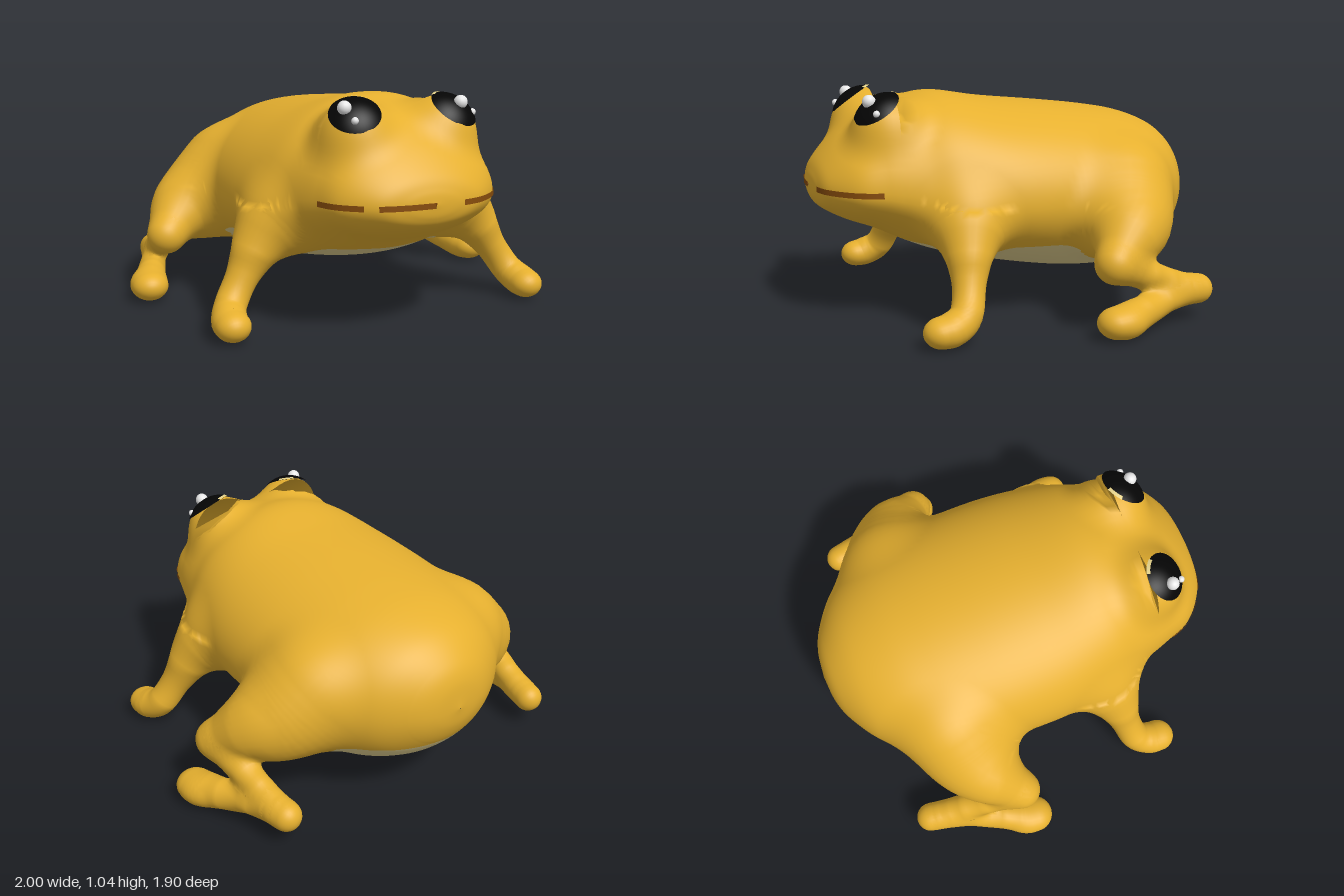
import * as THREE from 'three';

const mat = (name, color) => Object.assign(new THREE.MeshStandardMaterial({ color }), { name });
const smoothCurve = points => new THREE.CatmullRomCurve3(points, false, 'catmullrom');

// Skin closed rings of points; quads passing the test go into a second material group
function loft(rings, isSecond = () => false) {
  const n = rings[0].length, first = [], second = [];
  for (let i = 0; i < rings.length - 1; i++) {
    for (let j = 0; j < n; j++) {
      const a = i * n + j, b = i * n + (j + 1) % n, c = a + n, d = b + n;
      (isSecond(i, j) ? second : first).push(a, c, b, b, c, d);
    }
  }
  const g = new THREE.BufferGeometry().setFromPoints(rings.flat());
  g.setIndex([...first, ...second]);
  g.addGroup(0, first.length, 0);
  g.addGroup(first.length, second.length, 1);
  return g;
}

// Limbs and eye sockets: blend reach, then points of [x, y, z, radius, vertical squash]
const PARTS = {
  EyeSocket: { k: 0.1, points: [[0.215, 0.88, 0.605, 0.152], [0.215, 0.88, 0.625, 0.152]] },
  FrontLeg: { k: 0.13, points: [[0.45, 0.47, 0.33, 0.15], [0.56, 0.38, 0.36, 0.115], [0.65, 0.25, 0.39, 0.076],
    [0.725, 0.13, 0.43, 0.073], [0.755, 0.085, 0.5, 0.08, 0.92], [0.758, 0.075, 0.55, 0.08, 0.85]] },
  Thigh: { k: 0.13, points: [[0.44, 0.56, -0.46, 0.21], [0.55, 0.46, -0.42, 0.215], [0.68, 0.41, -0.36, 0.16], [0.81, 0.315, -0.235, 0.08]] },
  Shin: { k: 0.05, points: [[0.81, 0.31, -0.23, 0.08], [0.79, 0.25, -0.38, 0.068], [0.765, 0.18, -0.56, 0.062], [0.75, 0.142, -0.69, 0.056]] },
  HindFoot: { k: 0.05, points: [[0.75, 0.142, -0.69, 0.056], [0.805, 0.125, -0.5, 0.06], [0.87, 0.092, -0.32, 0.074],
    [0.902, 0.078, -0.24, 0.09, 0.85], [0.91, 0.077, -0.195, 0.088, 0.8]] },
};
const LIMBS = Object.values(PARTS);
for (const part of LIMBS) {
  part.path = smoothCurve(part.points.map(p => new THREE.Vector3(p[0], p[1], p[2])));
  part.size = smoothCurve(part.points.map(p => new THREE.Vector3(p[3], p[4] ?? 1, 0)));
  part.balls = Array.from({ length: 25 }, (_, i) => {
    const s = part.size.getPoint(i / 24);
    return { c: part.path.getPoint(i / 24), r: s.x, flat: s.y };
  });
}

// Body sections from nose to rump: z, half width, height of widest line, top, bottom
const SECTIONS = [
  [0.946, 0.002, 0.61, 0.612, 0.608], [0.935, 0.14, 0.61, 0.67, 0.55], [0.9, 0.26, 0.61, 0.74, 0.505],
  [0.8, 0.38, 0.61, 0.85, 0.45], [0.67, 0.435, 0.6, 0.95, 0.4], [0.5, 0.49, 0.57, 1.005, 0.32],
  [0.35, 0.545, 0.55, 1.03, 0.265], [0.1, 0.59, 0.54, 0.995, 0.205], [-0.2, 0.59, 0.54, 0.965, 0.15],
  [-0.45, 0.57, 0.53, 0.935, 0.133], [-0.63, 0.505, 0.53, 0.9, 0.155], [-0.78, 0.39, 0.53, 0.84, 0.23],
  [-0.88, 0.255, 0.53, 0.755, 0.33], [-0.93, 0.14, 0.53, 0.665, 0.425], [-0.948, 0.002, 0.53, 0.532, 0.528],
];
const curveA = smoothCurve(SECTIONS.map(s => new THREE.Vector3(s[0], s[1], s[2])));
const curveB = smoothCurve(SECTIONS.map(s => new THREE.Vector3(s[0], s[3], s[4])));
function section(t) {
  const a = curveA.getPoint(t), b = curveB.getPoint(t);
  return { z: a.x, w: a.y, mid: a.z, up: b.y - a.z, down: a.z - b.z, bottom: b.z };
}
const SLICES = Array.from({ length: 561 }, (_, i) => section(i / 560));

// Signed distances, roughly, to the body and to one limb on the nearer side
function bodyDistance(p) {
  let lo = 0, hi = SLICES.length - 1;
  while (hi - lo > 1) {
    const m = (lo + hi) >> 1;
    if (SLICES[m].z > p.z) lo = m; else hi = m;
  }
  const a = SLICES[lo], b = SLICES[hi], f = THREE.MathUtils.clamp((a.z - p.z) / (a.z - b.z), 0, 1);
  const mix = key => a[key] + (b[key] - a[key]) * f;
  const w = mix('w'), dy = p.y - mix('mid'), h = mix(dy > 0 ? 'up' : 'down');
  return (Math.hypot(p.x / w, dy / h) - 1) * Math.min(w, h);
}
const limbDistance = (p, part) => Math.min(...part.balls.map(({ c, r, flat }) =>
  Math.hypot(Math.abs(p.x) - c.x, (p.y - c.y) / flat, p.z - c.z) - r));
const nearestLimb = p => Math.min(...LIMBS.map(part => limbDistance(p, part)));

// One soft surface flowing from the body into every limb
function field(p) {
  let d = bodyDistance(p);
  for (const part of LIMBS) {
    const e = limbDistance(p, part), h = Math.max(0, part.k - Math.abs(d - e));
    d = Math.min(d, e) - h * h / (4 * part.k);
  }
  return d;
}
function gradient(p) {
  const e = 0.004, q = new THREE.Vector3();
  return new THREE.Vector3(...['x', 'y', 'z'].map(axis => {
    const up = field(q.copy(p).setComponent('xyz'.indexOf(axis), p[axis] + e));
    return (up - field(q.setComponent('xyz'.indexOf(axis), p[axis] - e))) / (2 * e);
  }));
}

// Move the vertices onto the soft surface, tucking them just under it where the other part takes over
function settle(g, own, other) {
  const pos = g.attributes.position, moved = new Map();
  for (let i = 0; i < pos.count; i++) {
    const p = new THREE.Vector3().fromBufferAttribute(pos, i);
    if (nearestLimb(p) > 0.16 || other(p) < -0.06) continue;
    for (let n = 0; n < 5; n++) {
      const level = -0.008 * THREE.MathUtils.smoothstep(own(p) - other(p), 0, 0.04);
      const grad = gradient(p), step = (field(p) - level) / Math.max(grad.lengthSq(), 0.2);
      p.addScaledVector(grad, THREE.MathUtils.clamp(-step, -0.05, 0.05));
    }
    pos.setXYZ(i, p.x, p.y, p.z);
    moved.set(i, gradient(p).normalize());
  }
  g.computeVertexNormals();
  moved.forEach((n, i) => g.attributes.normal.setXYZ(i, n.x, n.y, n.z));
  return g;
}

// Torso and head in one skin, with the belly line following a fixed height
function bodyGeometry() {
  const STEPS = 140, UPPER = 60, LOWER = 36, LINE = 0.34;
  const secs = Array.from({ length: STEPS + 1 }, (_, i) => section(i / STEPS));
  const rings = secs.map(s => {
    const cut = Math.asin(THREE.MathUtils.clamp((LINE - s.mid) / s.down, -0.995, 0));
    return Array.from({ length: UPPER + LOWER }, (_, j) => {
      const a = j < UPPER
        ? cut + (Math.PI - 2 * cut) * j / UPPER
        : Math.PI - cut + (Math.PI + 2 * cut) * (j - UPPER) / LOWER;
      const y = Math.sin(a);
      return new THREE.Vector3(s.w * Math.cos(a), s.mid + y * (y > 0 ? s.up : s.down), s.z);
    });
  });
  const isBelly = (i, j) => j >= UPPER && secs[i].bottom < LINE && secs[i + 1].bottom < LINE && nearestLimb(rings[i][j]) > 0.035;
  return settle(loft(rings, isBelly), bodyDistance, nearestLimb);
}

// Tapered limb with rounded ends
function limbGeometry(part, side) {
  const rings = [];
  const ring = (t, push, shrink) => {
    const T = part.path.getTangent(t), s = part.size.getPoint(t);
    const C = part.path.getPoint(t).addScaledVector(T, push * s.x);
    T.x *= side;
    C.x *= side;
    const S = new THREE.Vector3().crossVectors(T, new THREE.Vector3(0, 1, 0)).normalize();
    const U = new THREE.Vector3().crossVectors(S, T);
    rings.push(Array.from({ length: 28 }, (_, j) => {
      const a = j / 28 * Math.PI * 2, r = s.x * shrink;
      return C.clone().addScaledVector(S, Math.cos(a) * r).addScaledVector(U, Math.sin(a) * r * s.y);
    }));
  };
  const cap = i => i / 8 * Math.PI / 2;
  for (let i = 8; i > 0; i--) ring(0, -Math.sin(cap(i)), Math.cos(cap(i)) + 0.002);
  for (let i = 0; i <= 30; i++) ring(i / 30, 0, 1);
  for (let i = 1; i <= 8; i++) ring(1, Math.sin(cap(i)), Math.cos(cap(i)) + 0.002);
  return settle(loft(rings), p => limbDistance(p, part), bodyDistance);
}

// Thin ribbon of the mouth line, lying just off the head between two distances from the middle
function mouthGeometry(x0, x1, side) {
  const pos = [], index = [];
  const at = (t, y) => {
    const s = section(t), q = (y - s.mid) / (y > s.mid ? s.up : s.down);
    return [side * s.w * Math.sqrt(Math.max(0, 1 - q * q)) * 1.008, y, s.z * 1.005];
  };
  for (let i = 0; i <= 160; i++) {
    const t = i / 160 * 0.3, x = Math.abs(at(t, 0.61)[0]);
    if (x >= x0 && x <= x1) pos.push(...at(t, 0.597), ...at(t, 0.622));
  }
  for (let i = 0; i < pos.length / 6 - 1; i++) {
    const a = i * 2;
    index.push(a, a + 2, a + 1, a + 1, a + 2, a + 3);
  }
  const g = new THREE.BufferGeometry();
  g.setAttribute('position', new THREE.Float32BufferAttribute(pos, 3));
  g.setIndex(index);
  g.computeVertexNormals();
  return g;
}

export function createModel() {
  const skin = mat('goldenSkin', 0xe6b02f), cream = mat('creamBelly', 0xdecc8c);
  const black = mat('eyeBlack', 0x050505), white = mat('eyeHighlight', 0xeeeeee);
  const brown = mat('mouthBrown', 0x874c0c), pale = mat('eyeRim', 0xf0dc90);
  brown.side = THREE.DoubleSide;

  const model = new THREE.Group();
  model.name = 'frog';
  const add = (name, geometry, material) => {
    const mesh = new THREE.Mesh(geometry, material);
    mesh.name = name;
    model.add(mesh);
    return mesh;
  };
  add('body', bodyGeometry(), [skin, cream]);

  for (const side of [1, -1]) {
    const label = side > 0 ? 'left' : 'right';
    for (const [name, part] of Object.entries(PARTS)) add(label + name, limbGeometry(part, side), skin);

    // Dark eye cap looking up, forward and out, with a pale sliver at its inner back edge
    const look = new THREE.Vector3(0.25 * side, 0.8, 0.55).normalize();
    const back = side > 0 ? -0.985 : -2.157;
    const caps = [
      add(label + 'Eye', new THREE.SphereGeometry(0.163, 40, 14, 0, Math.PI * 2, 0, 0.77), black),
      add(label + 'EyeRim', new THREE.SphereGeometry(0.165, 10, 3, back - 0.35, 0.7, 0.68, 0.1), pale),
    ];
    for (const cap of caps) {
      cap.position.set(0.215 * side, 0.88, 0.615);
      cap.quaternion.setFromUnitVectors(new THREE.Vector3(0, 1, 0), look);
    }
  }

  // Eye glints, shifted the same way on both eyes
  const glints = [[0.257, 1.006, 0.715, 0.031], [0.328, 0.957, 0.7, 0.016], [-0.298, 1.006, 0.69, 0.031], [-0.277, 0.957, 0.748, 0.016]];
  for (const [x, y, z, r] of glints) add('eyeGlint', new THREE.SphereGeometry(r, 16, 12), white).position.set(x, y, z);

  // Broken mouth line
  for (const [x0, x1, side] of [[0, 0.03, 1], [0.15, 0.43, 1], [0, 0.25, -1], [0.3, 0.43, -1]])
    add('mouthLine', mouthGeometry(x0, x1, side), brown);
  return model;
}
